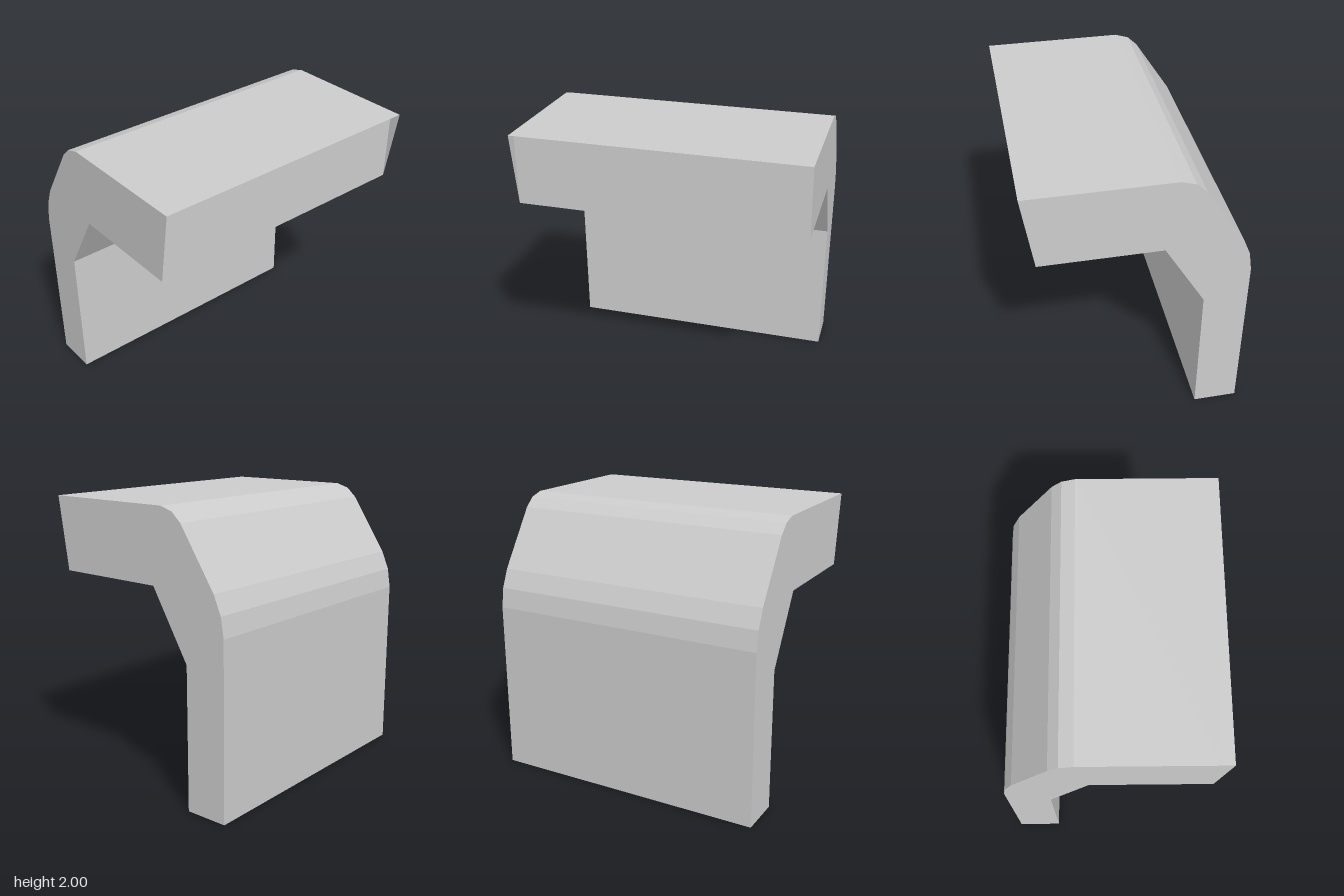
import * as THREE from 'three';

export function createModel() {
  const model = new THREE.Group();
  const grey = new THREE.MeshStandardMaterial({ color: 0xcccccc, side: THREE.DoubleSide });
  grey.name = 'light grey';

  const add = (name, geometry) => {
    const mesh = new THREE.Mesh(geometry, grey);
    mesh.name = name;
    model.add(mesh);
    return mesh;
  };
  const shapeOf = (points) => new THREE.Shape(points.map(([x, y]) => new THREE.Vector2(x, y)));

  const halfDepth = 1, top = 2, armBottom = 1.485;
  const wallX = 0.665, lipX = 0.742;

  // Bent slab: upright leg, chamfered shoulder and horizontal arm
  const profile = shapeOf([
    [-0.742, 0], [-0.435, 0], [-0.435, 1.01], [-0.155, armBottom],
    [wallX, armBottom], [wallX, top], [-0.235, top], [-0.33, 1.97],
    [-0.4, 1.905], [-0.665, 1.5], [-0.72, 1.37], [-0.742, 1.23],
  ]);
  const body = new THREE.ExtrudeGeometry(profile, { depth: 2 * halfDepth, bevelEnabled: false });
  body.translate(0, 0, -halfDepth);
  add('bentSlab', body);

  // Thin top lip overhanging the recessed end wall
  const lip = new THREE.PlaneGeometry(lipX - wallX, 2 * halfDepth);
  lip.rotateX(-Math.PI / 2);
  lip.translate((lipX + wallX) / 2, top, 0);
  add('topLip', lip);

  // Thin triangular cheeks closing both sides of the recess
  const cheek = shapeOf([[wallX, armBottom], [lipX, top], [wallX, top]]);
  for (const side of [1, -1]) {
    const geometry = new THREE.ShapeGeometry(cheek);
    if (side < 0) {
      // turn the back cheek outward
      geometry.translate(-wallX, 0, 0).rotateY(Math.PI).scale(-1, 1, 1).translate(wallX, 0, 0);
      geometry.index.array.reverse();
      geometry.computeVertexNormals();
    }
    geometry.translate(0, 0, side * halfDepth);
    add(side > 0 ? 'frontCheek' : 'backCheek', geometry);
  }

  return model;
}
